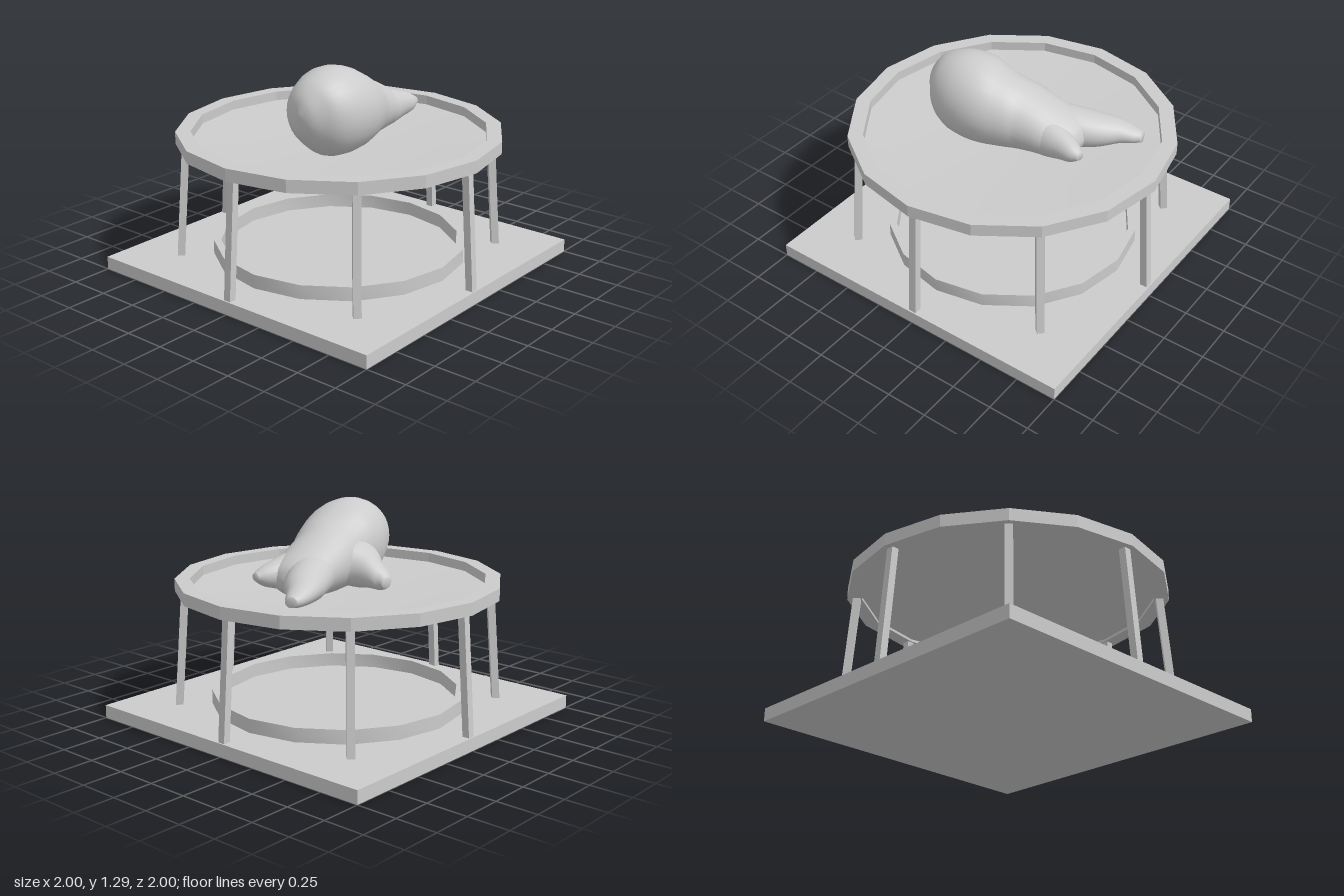
import * as THREE from 'three';
import { toCreasedNormals } from 'three/addons/utils/BufferGeometryUtils.js';

const grey = new THREE.MeshStandardMaterial({ color: 0xcccccc });
const flat = new THREE.MeshStandardMaterial({ color: 0xcccccc, flatShading: true });
const thin = new THREE.MeshStandardMaterial({ color: 0xcccccc, side: THREE.DoubleSide });

function add(parent, name, geometry, material = grey) {
  const mesh = new THREE.Mesh(geometry, material);
  mesh.name = name;
  parent.add(mesh);
  return mesh;
}

// Sixteen-sided hoop with a rectangular section
function hoop(inner, outer, bottom, top) {
  const p = [[outer, bottom], [outer, top], [inner, top], [inner, bottom], [outer, bottom]];
  return new THREE.LatheGeometry(p.map(([r, y]) => new THREE.Vector2(r, y)), 16);
}

// Smooth closed loft: stations are [x, y, z, halfWidth, halfHeight]
function loft(stations, rings = 24, sides = 24) {
  const path = new THREE.CatmullRomCurve3(
    stations.map(s => new THREE.Vector3(s[0], s[1], s[2])), false, 'catmullrom');
  const size = new THREE.CatmullRomCurve3(
    stations.map(s => new THREE.Vector3(s[3], s[4], 0)), false, 'catmullrom');
  const pos = [], index = [];
  for (let i = 0; i <= rings; i++) {
    const t = i / rings, c = path.getPoint(t), s = size.getPoint(t), d = path.getTangent(t);
    const len = Math.hypot(d.x, d.z);
    for (let j = 0; j < sides; j++) {
      const a = j / sides * Math.PI * 2, w = s.x * Math.cos(a) / len;
      pos.push(c.x - d.z * w, c.y + s.y * Math.sin(a), c.z + d.x * w);
    }
  }
  const start = (rings + 1) * sides, end = start + 1, last = rings * sides;
  pos.push(...path.getPoint(0).toArray(), ...path.getPoint(1).toArray());
  for (let j = 0; j < sides; j++) {
    const k = (j + 1) % sides;
    for (let i = 0; i < rings; i++) {
      const a = i * sides + j, b = i * sides + k;
      index.push(a, a + sides, b, b, a + sides, b + sides);
    }
    index.push(start, j, k, end, last + k, last + j);
  }
  const g = new THREE.BufferGeometry();
  g.setAttribute('position', new THREE.Float32BufferAttribute(pos, 3));
  g.setIndex(index);
  g.computeVertexNormals();
  return g;
}

export function createModel() {
  const model = new THREE.Group();
  model.name = 'creatureOnTrampoline';

  // Square base and low ring on it
  add(model, 'base', new THREE.BoxGeometry(2, 0.08, 2)).position.y = 0.04;
  add(model, 'lowerRing', toCreasedNormals(hoop(0.725, 0.77, 0.07, 0.165), 0.5));

  // Trampoline frame and slightly sagging mat
  add(model, 'frame', hoop(0.885, 0.975, 0.785, 0.86), flat);
  const sag = [[0, 0.765], [0.3, 0.771], [0.6, 0.785], [0.89, 0.802]];
  add(model, 'mat', new THREE.LatheGeometry(sag.map(([r, y]) => new THREE.Vector2(r, y)), 16), thin);

  // Eight splayed legs
  const legs = new THREE.Group();
  legs.name = 'legs';
  model.add(legs);
  for (let i = 0; i < 8; i++) {
    const pivot = new THREE.Group();
    pivot.name = 'leg';
    pivot.rotation.y = i * Math.PI / 4;
    const leg = add(pivot, 'legBar', new THREE.BoxGeometry(0.045, 0.72, 0.046));
    leg.position.set(0.942, 0.432, 0);
    leg.rotation.z = Math.atan(0.053 / 0.705);
    legs.add(pivot);
  }

  // Resting creature: tapered body, two tail lobes, one side flipper
  const creature = new THREE.Group();
  creature.name = 'creature';
  model.add(creature);
  add(creature, 'body', loft([
    [-0.49, 1.06, 0.11, 0.015, 0.02],
    [-0.465, 1.055, 0.11, 0.09, 0.11],
    [-0.4, 1.05, 0.107, 0.167, 0.19],
    [-0.3, 1.035, 0.11, 0.225, 0.25],
    [-0.2, 1.03, 0.107, 0.247, 0.264],
    [-0.1, 1.02, 0.097, 0.247, 0.255],
    [0, 0.998, 0.073, 0.228, 0.228],
    [0.1, 0.975, 0.04, 0.21, 0.202],
    [0.2, 0.955, 0.02, 0.2, 0.175],
    [0.3, 0.935, 0.005, 0.192, 0.148],
    [0.4, 0.92, 0, 0.17, 0.112],
    [0.46, 0.915, 0, 0.12, 0.07],
    [0.485, 0.91, 0, 0.03, 0.02],
  ], 40, 28));
  add(creature, 'rightTailLobe', loft([
    [0.2, 0.93, -0.03, 0.12, 0.13],
    [0.34, 0.925, -0.085, 0.13, 0.12],
    [0.47, 0.91, -0.16, 0.12, 0.1],
    [0.58, 0.9, -0.235, 0.088, 0.07],
    [0.67, 0.885, -0.272, 0.06, 0.045],
    [0.72, 0.88, -0.285, 0.035, 0.03],
  ]));
  add(creature, 'leftTailLobe', loft([
    [0.2, 0.93, 0.07, 0.12, 0.13],
    [0.33, 0.93, 0.09, 0.105, 0.115],
    [0.43, 0.93, 0.11, 0.08, 0.085],
    [0.51, 0.927, 0.13, 0.057, 0.057],
    [0.565, 0.93, 0.14, 0.025, 0.022],
  ]));
  add(creature, 'sideFlipper', loft([
    [-0.04, 0.96, -0.05, 0.17, 0.15],
    [-0.04, 0.94, -0.15, 0.145, 0.13],
    [-0.03, 0.915, -0.23, 0.095, 0.095],
    [-0.025, 0.885, -0.31, 0.065, 0.065],
    [-0.01, 0.87, -0.36, 0.03, 0.03],
  ]));
  return model;
}
